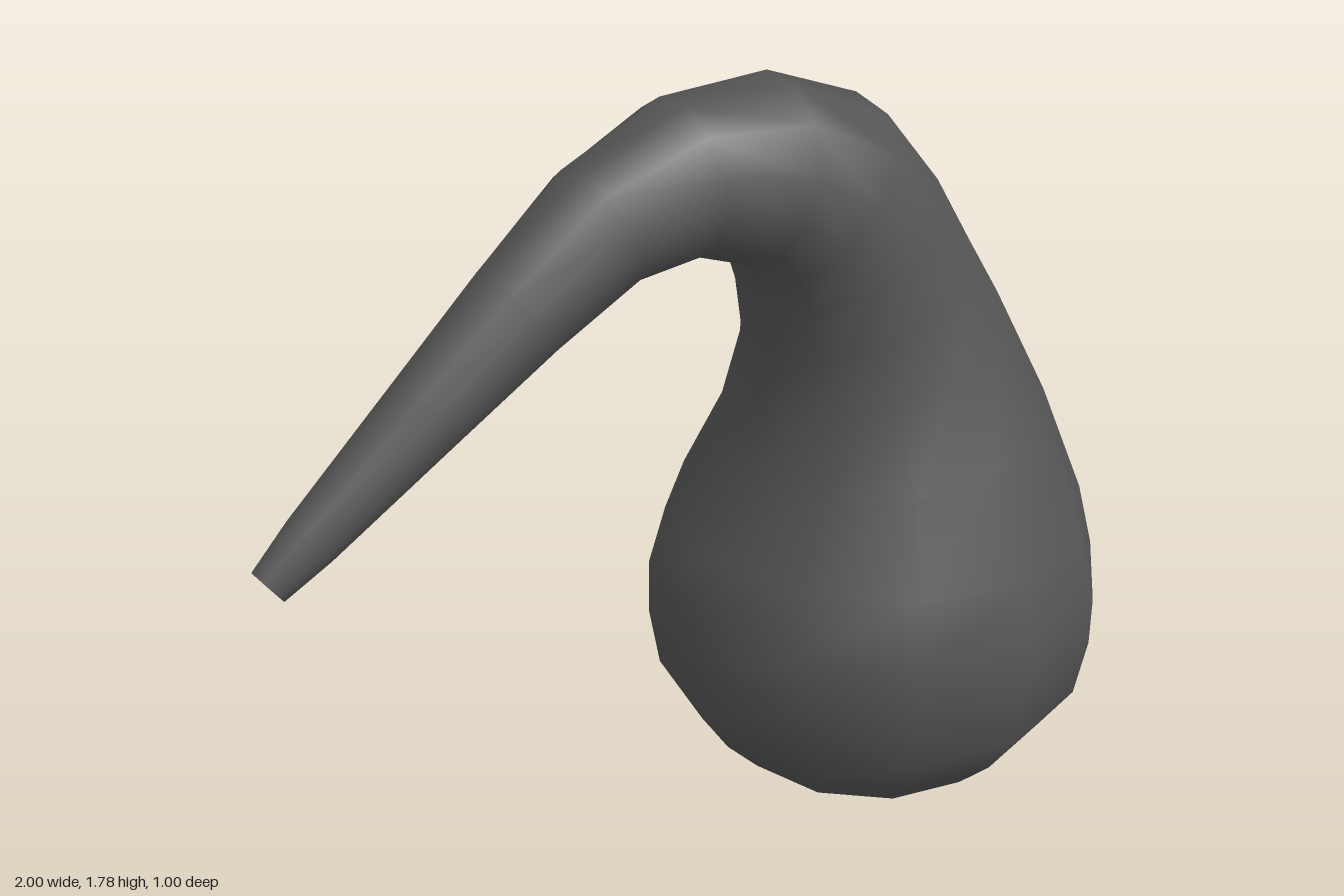
import * as THREE from 'three';

const SIDES = 12;

// Cross-sections from the base to the stem tip: centre x, y, z and radius
const RINGS = [
  [0.5, 0, 0, 0], [0.5, 0.04, 0, 0.2], [0.5, 0.11, 0, 0.32], [0.5, 0.2, 0, 0.405],
  [0.5, 0.31, 0, 0.478], [0.5, 0.45, 0, 0.502], [0.5, 0.57, 0, 0.502], [0.505, 0.71, 0, 0.46],
  [0.5, 0.93, 0, 0.365], [0.455, 1.16, 0.015, 0.282], [0.41, 1.28, 0.03, 0.25],
  [0.355, 1.41, 0.045, 0.228], [0.275, 1.525, 0.065, 0.215], [0.145, 1.595, 0.1, 0.19],
  [-0.035, 1.61, 0.13, 0.16], [-0.225, 1.555, 0.18, 0.13], [-0.42, 1.425, 0.235, 0.107],
  [-0.62, 1.275, 0.285, 0.085], [-0.88, 1.08, 0.35, 0.057], [-0.97, 1.012, 0.372, 0.041],
];

// Skin the rings, each square to the centre line, with one shared pole at the base
function sweptBody() {
  const centres = RINGS.map(([x, y, z]) => new THREE.Vector3(x, y, z));
  const last = RINGS.length - 1;
  const positions = [...centres[0].toArray()];
  const index = [];
  const tip = [];
  for (let i = 1; i <= last; i++) {
    const t = centres[Math.min(i + 1, last)].clone().sub(centres[i - 1]).normalize();
    const n = new THREE.Vector3(0, 0, 1).addScaledVector(t, -t.z).normalize();
    const b = t.clone().cross(n);
    const r = RINGS[i][3] / Math.cos(Math.PI / SIDES);
    for (let j = 0; j < SIDES; j++) {
      const a = ((j + 0.5) / SIDES) * Math.PI * 2;
      const p = centres[i].clone().addScaledVector(b, r * Math.cos(a)).addScaledVector(n, r * Math.sin(a));
      positions.push(p.x, p.y, p.z);
      if (i === last) tip.push(p);
    }
  }
  const at = (i, j) => 1 + (i - 1) * SIDES + (j % SIDES);
  for (let j = 0; j < SIDES; j++) {
    index.push(0, at(1, j), at(1, j + 1));
    for (let i = 1; i < last; i++) {
      index.push(at(i, j), at(i + 1, j), at(i, j + 1), at(i, j + 1), at(i + 1, j), at(i + 1, j + 1));
    }
  }
  const geometry = new THREE.BufferGeometry();
  geometry.setAttribute('position', new THREE.Float32BufferAttribute(positions, 3));
  geometry.setIndex(index);
  geometry.computeVertexNormals();
  return { geometry, tip, tipCentre: centres[last] };
}

// Flat cut end of the stem
function capGeometry(ring, centre) {
  const points = [];
  ring.forEach((p, j) => points.push(centre, p, ring[(j + 1) % SIDES]));
  // Order the corners so the cap faces away from the stem
  for (let k = 0; k < points.length; k += 3) {
    [points[k + 1], points[k + 2]] = [points[k + 2], points[k + 1]];
  }
  const geometry = new THREE.BufferGeometry().setFromPoints(points);
  geometry.computeVertexNormals();
  return geometry;
}

export function createModel() {
  const group = new THREE.Group();
  group.name = 'gourd';
  const material = new THREE.MeshStandardMaterial({ color: 0x555555, side: THREE.DoubleSide });

  const { geometry, tip, tipCentre } = sweptBody();
  const body = new THREE.Mesh(geometry, material);
  body.name = 'gourdBody';

  const cap = new THREE.Mesh(capGeometry(tip, tipCentre), material);
  cap.name = 'stemEnd';

  group.add(body, cap);
  return group;
}
